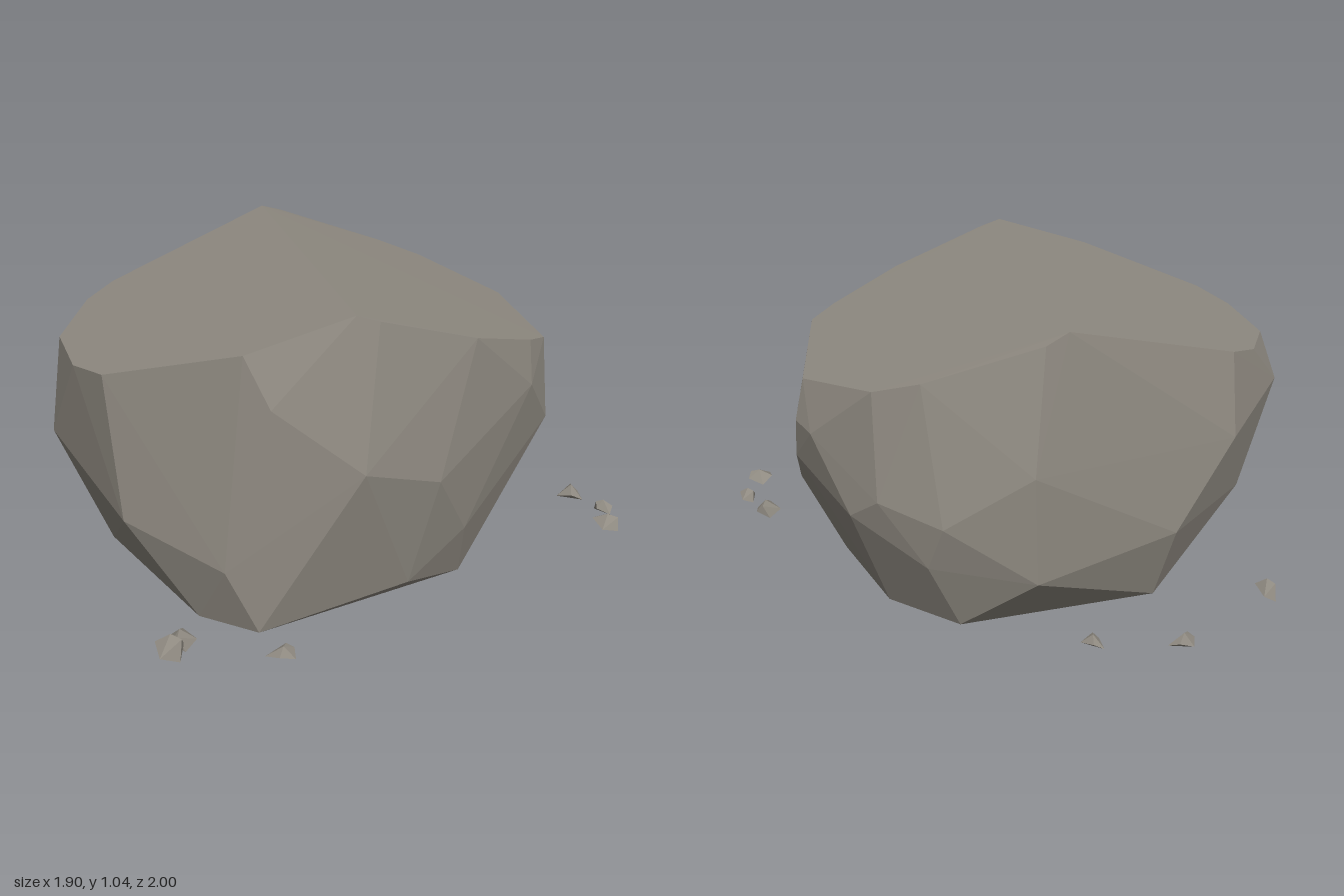
import * as THREE from 'three';
import { ConvexGeometry } from 'three/addons/geometries/ConvexGeometry.js';

const stone = new THREE.MeshStandardMaterial({ color: 0x8f8a81, flatShading: true });
stone.name = 'warm grey stone';

// The two flat slopes that meet in a ridge on top of the boulder
const leftSlope = (x, z) => 1.0 + 0.281 * x + 0.142 * z;
const rightSlope = (x, z) => 1.058 - 0.305 * x - 0.12 * z;

function hull(name, points) {
  const mesh = new THREE.Mesh(new ConvexGeometry(points.map((p) => new THREE.Vector3(...p))), stone);
  mesh.name = name;
  return mesh;
}

function boulder() {
  // Flat underside, as x, z
  const base = [
    [0.25, 0.76], [0.71, 0.38], [0.77, -0.06], [0.66, -0.35], [0, -0.56],
    [-0.6, -0.16], [-0.65, 0.48], [-0.55, 0.68],
  ].map(([x, z]) => [x, 0, z]);

  // Chiselled corners around the sides
  const sides = [
    [0.65, 0.48, 0.75], [0.49, 0.66, 0.82], [0.03, 0.45, 0.88], [-0.27, 0.55, 0.86],
    [-0.51, 0.77, 0.69], [-0.64, 0.22, 0.62], [-0.81, 0.32, 0.29], [-0.03, 0.07, 0.81],
    [0.2, 0.21, 0.83], [0.82, 0.28, 0.49], [0.93, 0.47, 0.27], [0.945, 0.62, 0.22],
    [0.95, 0.61, 0.1], [0.92, 0.38, -0.1], [0.88, 0.46, -0.22], [0.77, 0.24, -0.34],
    [0.75, 0.4, -0.41], [0.51, 0.58, -0.585], [0.5, 0.2, -0.58], [-0.03, 0.26, -0.64],
    [-0.3, 0.54, -0.62], [-0.4, 0.3, -0.53], [-0.61, 0.65, -0.48], [-0.79, 0.46, -0.21],
  ];

  // Rims of the two slopes, as x, z
  const leftRim = [
    [-0.24, 0.76], [-0.55, 0.6], [-0.81, 0.19], [-0.81, 0],
    [-0.7, -0.3], [-0.47, -0.51], [-0.33, -0.56], [0.34, -0.53],
  ].map(([x, z]) => [x, leftSlope(x, z), z]);
  const rightRim = [
    [-0.17, 0.79], [0.2, 0.84], [0.5, 0.79], [0.62, 0.74], [0.9, 0.24],
    [0.85, -0.16], [0.75, -0.3], [0.43, -0.53],
  ].map(([x, z]) => [x, rightSlope(x, z), z]);

  return hull('boulder', [...base, ...sides, ...leftRim, ...rightRim]);
}

// Angular splinter filling a box; the flips vary its shape
const splinter = [
  [-0.5, -0.2, 0.3], [0.1, -0.5, 0.5], [0.5, -0.1, 0.1], [0.2, -0.3, -0.5],
  [-0.3, 0.1, -0.3], [0.05, 0.5, 0.05], [0.3, 0.3, 0.3],
];
function chip([x, y, z, w, h, d, flipX, flipZ]) {
  const mesh = hull('chip', splinter.map(([a, b, c]) => [a * w * flipX, b * h, c * d * flipZ]));
  mesh.position.set(x, y, z);
  return mesh;
}

export function createModel() {
  const model = new THREE.Group();
  model.name = 'boulder with chips';
  model.add(boulder());

  // Loose chips: position, size, flips
  const chips = new THREE.Group();
  chips.name = 'looseChips';
  [
    [-0.905, 0.1, 0.7, 0.1, 0.08, 0.1, 1, 1],
    [-0.85, 0.1, 0.68, 0.09, 0.06, 0.09, -1, 1],
    [-0.63, 0.08, 0.915, 0.1, 0.035, 0.08, 1, -1],
    [0.88, 0.09, 0.7, 0.09, 0.06, 0.09, 1, -1],
    [0.895, 0.09, 0.85, 0.06, 0.05, 0.08, -1, -1],
    [0.79, 0.105, 0.945, 0.1, 0.05, 0.11, 1, 1],
    [0.21, 0.085, -0.97, 0.1, 0.05, 0.06, -1, 1],
    [-0.22, 0.1, -0.885, 0.06, 0.07, 0.1, -1, -1],
    [0.445, 0.085, -0.805, 0.06, 0.04, 0.09, -1, 1],
  ].forEach((c) => chips.add(chip(c)));
  model.add(chips);
  return model;
}
